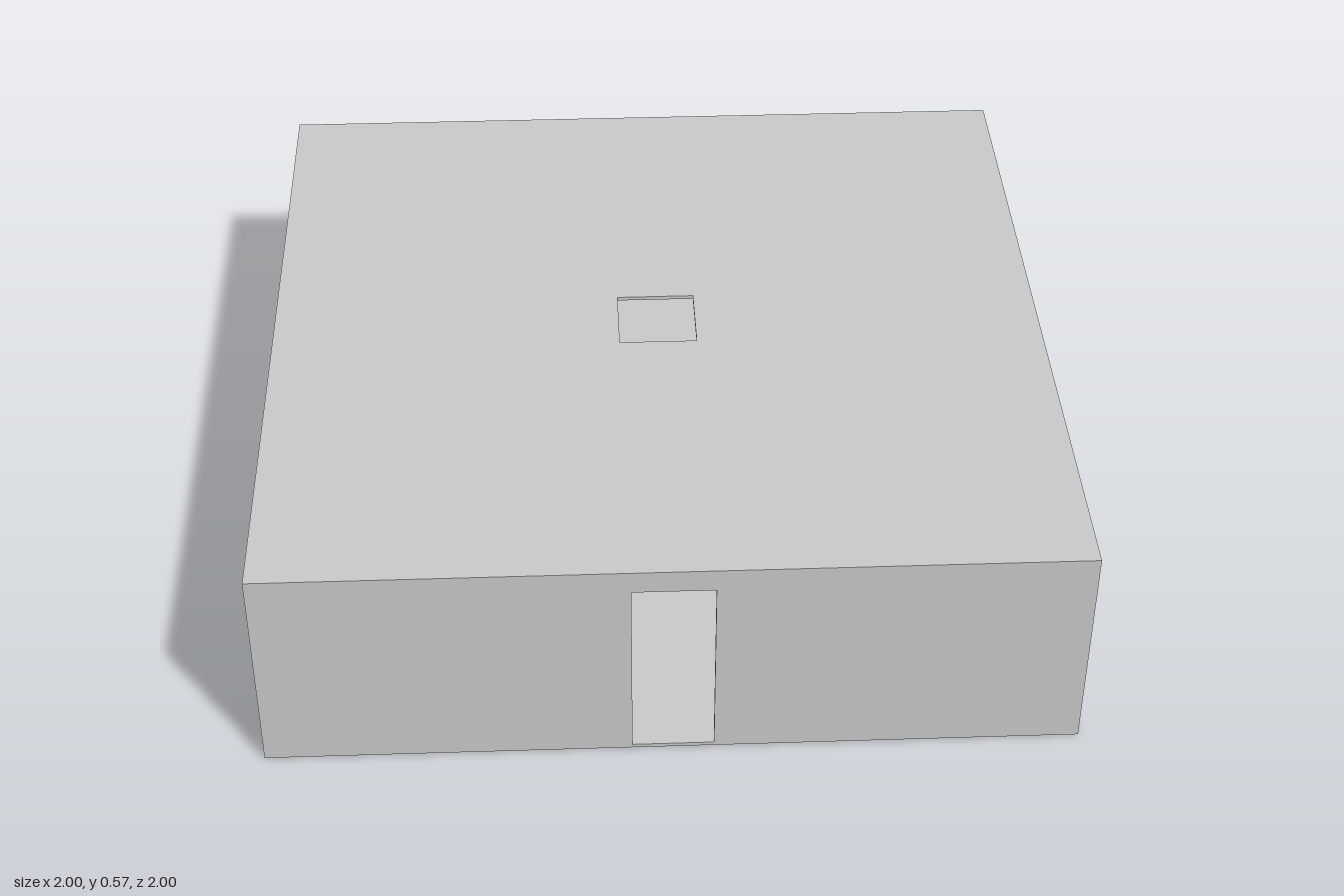
import * as THREE from 'three';

const T = 0.01;       // sheet thickness
const H = 0.57;       // overall height
const DOOR_TOP = 0.51;
const HALF_OPENING = 0.1;

const material = new THREE.MeshStandardMaterial({ color: 0xcccccc, flatShading: true });

function outline(points, type = THREE.Shape) {
  return new type(points.map(([x, y]) => new THREE.Vector2(x, y)));
}

function sheet(shape, name) {
  const geometry = new THREE.ExtrudeGeometry(shape, { depth: T, bevelEnabled: false });
  const mesh = new THREE.Mesh(geometry, material);
  mesh.name = name;
  return mesh;
}

// Wall with a doorway that reaches down to the floor
function wall(halfWidth, name) {
  const d = HALF_OPENING;
  const mesh = sheet(outline([
    [-halfWidth, T], [-d, T], [-d, DOOR_TOP], [d, DOOR_TOP],
    [d, T], [halfWidth, T], [halfWidth, H - T], [-halfWidth, H - T],
  ]), name);
  mesh.geometry.translate(0, 0, 1 - T); // outer face at distance 1
  return mesh;
}

export function createModel() {
  const group = new THREE.Group();
  group.name = 'room';

  // Floor slab
  const floor = new THREE.Mesh(new THREE.BoxGeometry(2, T, 2), material);
  floor.name = 'floor';
  floor.position.y = T / 2;
  group.add(floor);

  // Four walls; the side walls fit between the front and back ones
  ['frontWall', 'leftWall', 'backWall', 'rightWall'].forEach((name, i) => {
    const mesh = wall(i % 2 ? 1 - T : 1, name);
    mesh.rotation.y = i * Math.PI / 2;
    group.add(mesh);
  });

  // Roof with a square skylight in the middle
  const h = HALF_OPENING;
  const roofShape = outline([[-1, -1], [1, -1], [1, 1], [-1, 1]]);
  roofShape.holes.push(outline([[-h, -h], [-h, h], [h, h], [h, -h]], THREE.Path));
  const roof = sheet(roofShape, 'roof');
  roof.rotation.x = -Math.PI / 2;
  roof.position.y = H - T;
  group.add(roof);

  return group;
}
